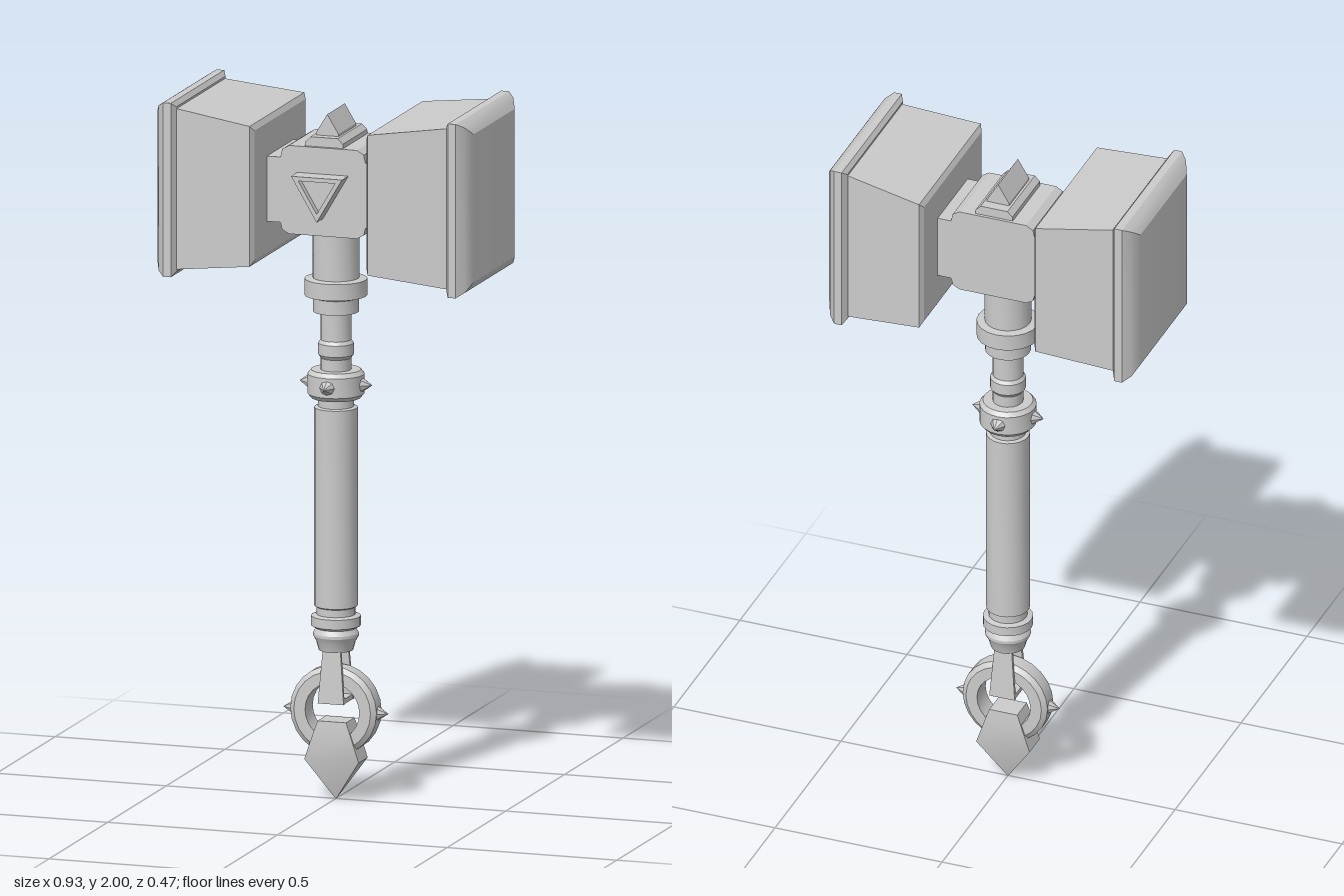
import * as THREE from 'three';
import { toCreasedNormals } from 'three/addons/utils/BufferGeometryUtils.js';

const grey = new THREE.MeshStandardMaterial({ color: 0xcccccc });

function add(parent, name, geometry) {
  const mesh = new THREE.Mesh(toCreasedNormals(geometry, 0.5), grey);
  mesh.name = name;
  parent.add(mesh);
  return mesh;
}

// Stack of rectangular sections [y, halfX, halfZ, zOffset], capped at both ends
function loft(sections) {
  const corners = [[1, 1], [1, -1], [-1, -1], [-1, 1]];
  const pos = [], idx = [];
  for (const [y, a, b, z = 0] of sections)
    for (const [u, v] of corners) pos.push(u * a, y, v * b + z);
  const last = (sections.length - 1) * 4;
  for (let k = 0; k < last; k += 4)
    for (let i = 0; i < 4; i++) {
      const j = (i + 1) % 4;
      idx.push(k + i, k + j, k + 4 + j, k + i, k + 4 + j, k + 4 + i);
    }
  idx.push(0, 2, 1, 0, 3, 2, last, last + 1, last + 2, last, last + 2, last + 3);
  const g = new THREE.BufferGeometry();
  g.setAttribute('position', new THREE.Float32BufferAttribute(pos, 3));
  g.setIndex(idx);
  return g.toNonIndexed();
}

function lathe(points, sides) {
  return new THREE.LatheGeometry(points.map(p => new THREE.Vector2(...p)), sides);
}

function polygon(points, Kind = THREE.Shape) {
  return new Kind(points.map(p => new THREE.Vector2(...p)));
}

// Extrude an outline in z from z0 to z1
function slab(shape, z0, z1) {
  return new THREE.ExtrudeGeometry(shape, { depth: z1 - z0, bevelEnabled: false }).translate(0, 0, z0);
}

// Cone pointing along +x with its base at x = r, turned about y
function spike(parent, name, r, length, radius, y, angle) {
  const g = new THREE.ConeGeometry(radius, length, 8);
  g.rotateZ(-Math.PI / 2).translate(r + length / 2, y, 0).rotateY(angle);
  add(parent, name, g);
}

export function createModel() {
  const hammer = new THREE.Group();
  hammer.name = 'warHammer';

  // Two mirrored striking heads, each a tapered block and a bevelled face plate
  for (const side of ['left', 'right']) {
    const head = new THREE.Group();
    head.name = side + 'Head';
    head.position.y = 1.752;
    head.rotation.y = side === 'left' ? 0 : Math.PI;
    add(head, 'headBlock', loft([
      [0.165, 0.185, 0.218], [0.174, 0.2, 0.234], [0.405, 0.23, 0.206],
    ]).rotateZ(-Math.PI / 2));
    add(head, 'facePlate', loft([
      [0.398, 0.235, 0.21], [0.408, 0.248, 0.228], [0.431, 0.248, 0.228],
      [0.451, 0.235, 0.207], [0.466, 0.211, 0.175],
    ]).rotateZ(-Math.PI / 2));
    hammer.add(head);
  }

  // Centre block with shanks reaching into the heads
  const half = [[0.18, 1.657], [0.125, 1.657], [0.12, 1.637], [0.1, 1.626]];
  const upper = [[0.1, 1.878], [0.12, 1.866], [0.125, 1.843], [0.18, 1.843]];
  const mirror = pts => pts.map(([x, y]) => [-x, y]).reverse();
  add(hammer, 'centreBlock', slab(polygon(
    [...half.slice().reverse(), ...upper.slice().reverse(), ...mirror(upper.slice().reverse()), ...mirror(half.slice().reverse())]
  ), -0.115, 0.112));

  // Ridge on top
  add(hammer, 'topCap', slab(polygon([
    [-0.057, 1.87], [0.057, 1.87], [0.055, 1.89], [0.04, 1.905], [-0.04, 1.905], [-0.055, 1.89],
  ]), -0.106, 0.102));
  add(hammer, 'topRidge', slab(polygon([
    [-0.033, 1.9], [0.033, 1.9], [0.033, 1.912], [0, 1.966], [-0.033, 1.912],
  ]), -0.075, 0.075));

  // Triangular emblem frame with a recessed centre, front only
  const frame = polygon([[-0.075, 1.803], [0, 1.676], [0.075, 1.803]]);
  frame.holes.push(polygon([[-0.054, 1.791], [0.054, 1.791], [0, 1.7]], THREE.Path));
  add(hammer, 'triangleFrame', slab(frame, 0.1, 0.166));
  add(hammer, 'triangleInset', slab(polygon([[-0.06, 1.795], [0, 1.69], [0.06, 1.795]]), 0.1, 0.145));

  // Handle: pommel, grip, collars and neck
  add(hammer, 'handle', lathe([
    [0, 0.425], [0.048, 0.425], [0.055, 0.45], [0.064, 0.466], [0.064, 0.474],
    [0.056, 0.488], [0.07, 0.496], [0.07, 0.523], [0.054, 0.527], [0.054, 0.548],
    [0.061, 0.552], [0.061, 1.117], [0.05, 1.12], [0.05, 1.15], [0.043, 1.15],
    [0.043, 1.258], [0.05, 1.268], [0.05, 1.3], [0.043, 1.31], [0.043, 1.39],
    [0.064, 1.39], [0.064, 1.43], [0.076, 1.437], [0.088, 1.437], [0.088, 1.484],
    [0.065, 1.487], [0.065, 1.64], [0, 1.64],
  ], 20));
  add(hammer, 'spikedCollar', lathe([
    [0.04, 1.145], [0.07, 1.145], [0.08, 1.157], [0.08, 1.213], [0.07, 1.225], [0.04, 1.225],
  ], 20));
  for (let i = 0; i < 4; i++) spike(hammer, 'collarSpike', 0.075, 0.032, 0.023, 1.185, i * Math.PI / 2);

  // Strap looped through the ring
  for (const s of [1, -1])
    add(hammer, 'strap', loft([[0.278, 0.038, 0.005, s * 0.041], [0.43, 0.026, 0.005, s * 0.033]]));
  add(hammer, 'strapBottom', new THREE.BoxGeometry(0.074, 0.014, 0.086).translate(0, 0.286, 0));

  // Ring with side spikes
  add(hammer, 'ring', lathe([
    [0.08, -0.033], [0.113, -0.033], [0.127, -0.022], [0.127, 0.022],
    [0.113, 0.033], [0.08, 0.033], [0.08, -0.033],
  ], 24).rotateX(Math.PI / 2).translate(0, 0.255, 0));
  for (const a of [0, Math.PI]) spike(hammer, 'ringSpike', 0.122, 0.033, 0.022, 0.252, a);

  // Pointed pendant hanging from the ring
  add(hammer, 'pendant', loft([
    [0, 0.001, 0.001], [0.115, 0.08, 0.039], [0.195, 0.053, 0.038], [0.226, 0.042, 0.036],
  ]));
  return hammer;
}
